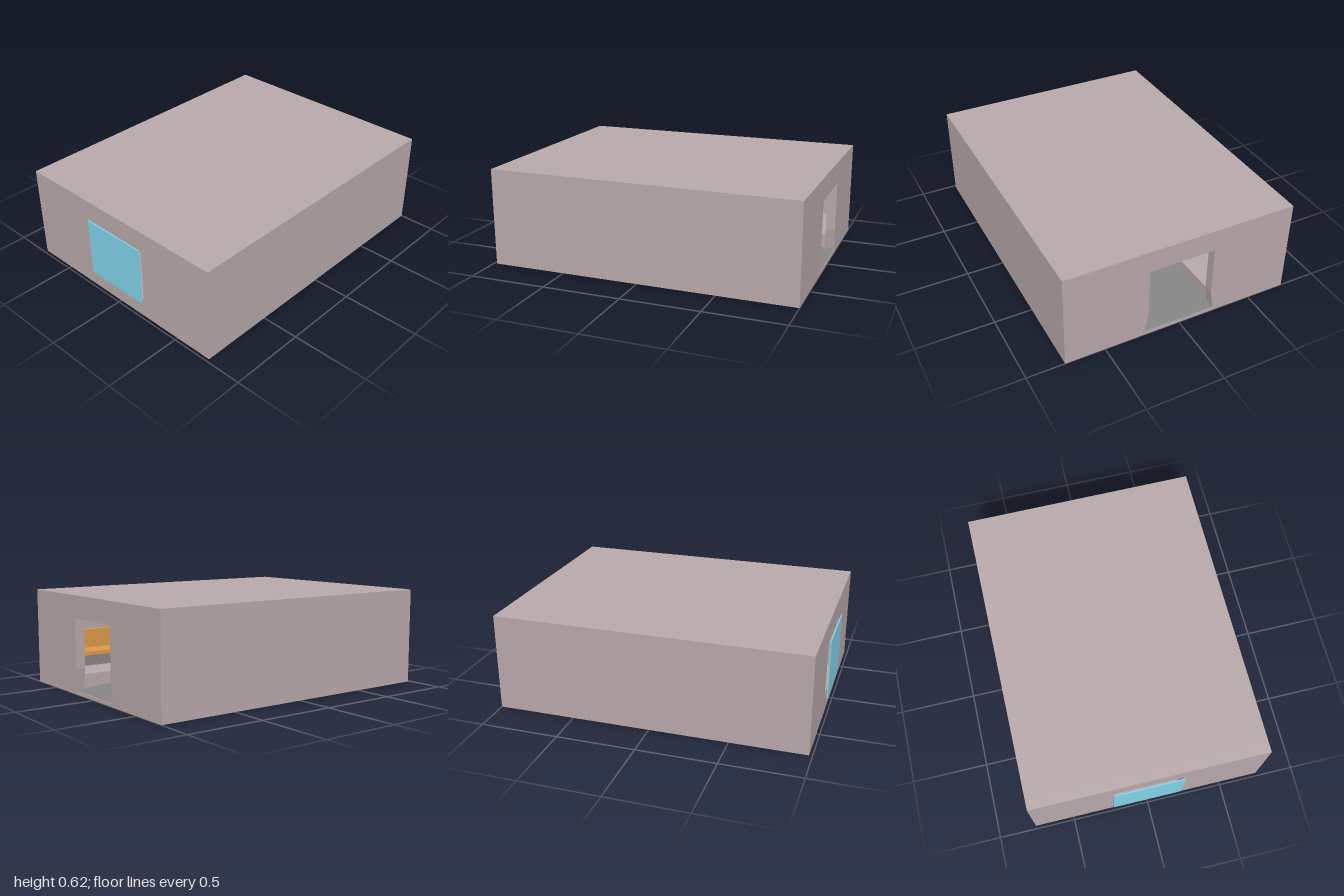
import * as THREE from 'three';
import { ConvexGeometry } from 'three/addons/geometries/ConvexGeometry.js';

const X0 = -0.98, X1 = 1, H = 0.625, HZ = 0.757, T = 0.06;
const FLOOR = 0.12, BASE = 0.02;

const paint = (color) => new THREE.MeshStandardMaterial({ color });
const shell = paint(0xb8a8aa), grey = paint(0x858585), orange = paint(0xd99a4a), glass = paint(0x82d2ea);

export function createModel() {
  const model = new THREE.Group();

  const add = (name, geometry, material) => {
    const mesh = new THREE.Mesh(geometry, material);
    mesh.name = name;
    model.add(mesh);
    return mesh;
  };

  // Box given by its limits on each axis
  const block = (name, x, y, z, material = shell) => {
    const mesh = add(name, new THREE.BoxGeometry(x[1] - x[0], y[1] - y[0], z[1] - z[0]), material);
    mesh.position.set((x[0] + x[1]) / 2, (y[0] + y[1]) / 2, (z[0] + z[1]) / 2);
    return mesh;
  };

  const outline = (points) => points.map(([a, b]) => new THREE.Vector2(a, b));

  // End wall across z with one opening
  const endWall = (name, x, thickness, opening) => {
    const shape = new THREE.Shape(outline([[-HZ, 0], [HZ, 0], [HZ, H], [-HZ, H]]));
    shape.holes.push(new THREE.Path(outline(opening)));
    const geometry = new THREE.ExtrudeGeometry(shape, { depth: thickness, bevelEnabled: false });
    add(name, geometry.rotateY(Math.PI / 2), shell).position.x = x;
  };

  // Doorway spreads out near the ground
  endWall('doorWall', X1 - T, T, [
    [-0.238, BASE], [-0.216, 0.16], [-0.216, 0.482], [0.216, 0.482], [0.216, 0.16], [0.238, BASE]]);
  endWall('windowWall', X0, T, [
    [-0.216, 0.133], [-0.216, 0.482], [0.216, 0.482], [0.216, 0.133]]);

  // Roof and long side walls
  const inside = [X0 + T, X1 - T];
  block('roof', inside, [H - T, H], [-HZ, HZ]);
  for (const s of [-1, 1]) {
    const z = [s * HZ, s * (HZ - T)].sort((a, b) => a - b);
    block('sideWall', inside, [0, H - T], z);
  }

  // Window pane standing just off the wall
  block('windowPane', [-1, -0.992], [0.112, 0.503], [-0.232, 0.222], glass);

  // Underside plates with narrow seams
  for (const s of [-1, 1]) {
    block('basePlate', inside, [0, BASE], [s * 0.214, s * (HZ - T)].sort((a, b) => a - b));
  }
  block('basePlateRear', [X0 + T, -0.004], [0, BASE], [-0.208, 0.208]);
  block('basePlateFront', [0.004, X1 - T], [0.003, BASE], [-0.208, 0.208]);

  // Raised floor with a tapered cut for the ramp
  const xi = X1 - T, zi = HZ - T;
  const plan = new THREE.Shape(outline([
    [X0 + T, -zi], [xi, -zi], [xi, -0.237], [0, -0.216],
    [0, 0.216], [xi, 0.237], [xi, zi], [X0 + T, zi]]));
  const floor = new THREE.ExtrudeGeometry(plan, { depth: FLOOR - BASE, bevelEnabled: false });
  add('raisedFloor', floor.rotateX(Math.PI / 2), shell).position.y = FLOOR;

  // Ramp from the doorway up to the raised floor
  const rampPoints = [];
  for (const s of [-1, 1]) {
    rampPoints.push(
      new THREE.Vector3(X1 - 0.002, BASE + 0.002, s * 0.236),
      new THREE.Vector3(0, BASE + 0.002, s * 0.215),
      new THREE.Vector3(0, FLOOR - 0.001, s * 0.215));
  }
  add('ramp', new ConvexGeometry(rampPoints), grey);

  // Benches along both sides and rails under the roof
  for (const s of [-1, 1]) {
    const span = (a, b) => [s * a, s * b].sort((p, q) => p - q);
    block('benchBase', [-0.7, 0.8], [FLOOR, 0.19], span(0.5, zi), grey);
    block('benchSeat', [-0.7, 0.8], [0.19, 0.215], span(0.49, zi), orange);
    block('benchBack', [-0.7, 0.8], [0.215, 0.34], span(0.66, zi), orange);
    block('roofRail', inside, [H - T - 0.02, H - T], span(0.3, 0.33), shell);
  }

  return model;
}
